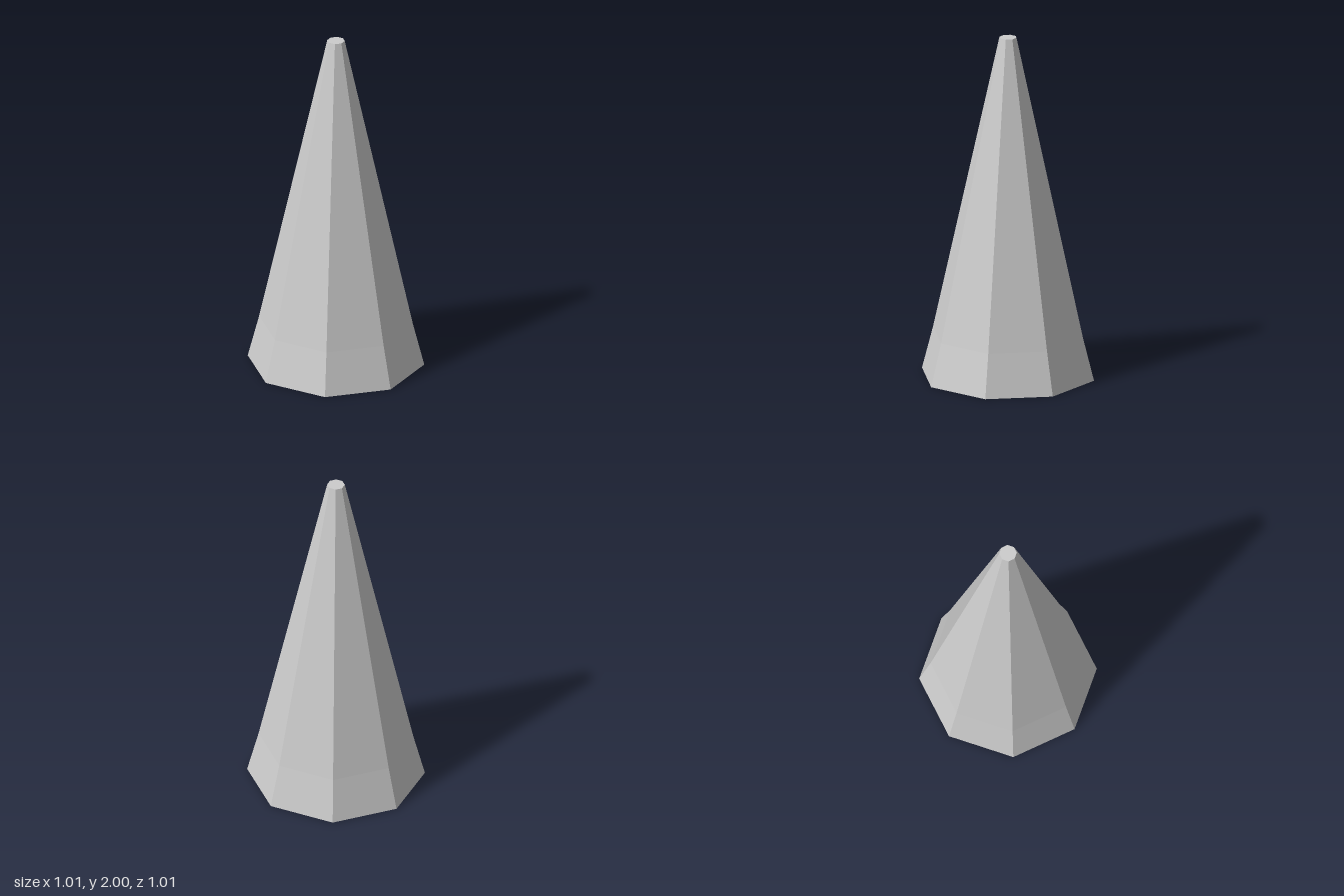
import * as THREE from 'three';

const SIDES = 8;

export function createModel() {
  const group = new THREE.Group();
  group.name = 'hollowSpire';

  // Closed wall section: down the inside, across the rim, up the outside, over the tip
  const profile = [
    [0, 1.95], [0.02, 1.93], [0.39, 0.25], [0.457, 0],
    [0.505, 0], [0.44, 0.25], [0.05, 2], [0, 2],
  ].map(([r, y]) => new THREE.Vector2(r, y));

  // Faceted eight-sided shell with a slightly flared skirt
  const geometry = new THREE.LatheGeometry(profile, SIDES).toNonIndexed();
  geometry.computeVertexNormals();
  const material = new THREE.MeshStandardMaterial({ color: 0xcccccc, flatShading: true });
  const shell = new THREE.Mesh(geometry, material);
  shell.name = 'spireShell';
  group.add(shell);

  return group;
}
